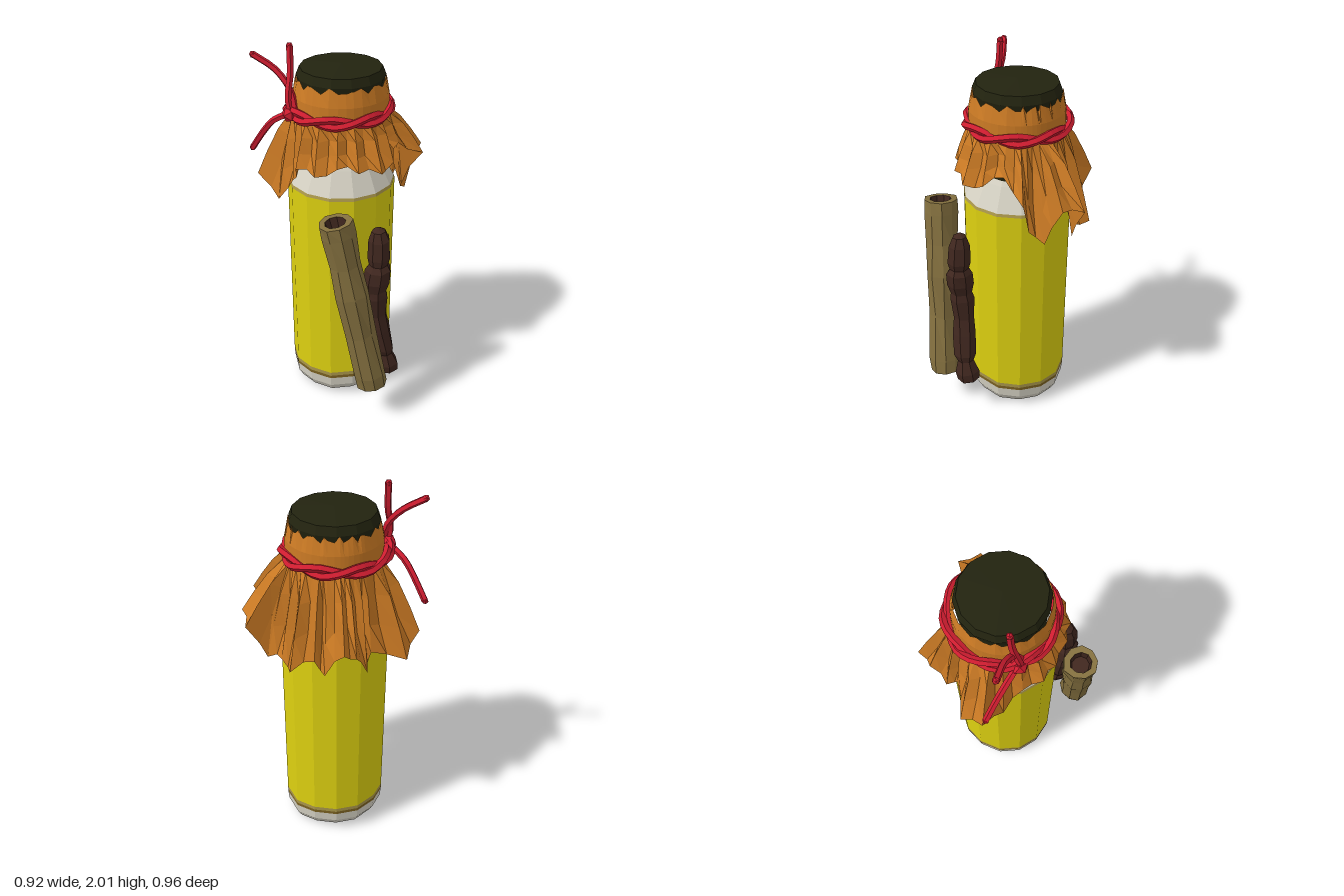
import * as THREE from 'three';

const mat = (name, color, side = THREE.FrontSide) => {
  const m = new THREE.MeshStandardMaterial({ color, side, flatShading: true });
  m.name = name;
  return m;
};

export function createModel() {
  const M = {
    glass: mat('pale glass', 0xd6d2c4),
    yellow: mat('yellow filling', 0xddd010),
    olive: mat('tan sediment', 0xa8954a),
    brown: mat('brown line', 0x7a6020),
    cap: mat('dark cap', 0x22230f),
    cloth: mat('orange cloth', 0xcb7a24, THREE.DoubleSide),
    cord: mat('red cord', 0xcf1d30),
    bark: mat('cinnamon bark', 0x84703f),
    dark: mat('dark pod', 0x40271f),
  };
  const root = new THREE.Group();
  root.name = 'spicedBottle';
  const CX = -0.01, CZ = -0.05;

  const add = (name, geo, material, parent = root) => {
    const g = geo.index ? geo.toNonIndexed() : geo;
    g.computeVertexNormals();
    const mesh = new THREE.Mesh(g, material);
    mesh.name = name;
    parent.add(mesh);
    return mesh;
  };
  const lathe = (pts, sides) =>
    new THREE.LatheGeometry(pts.map(p => new THREE.Vector2(p[0], p[1])), sides);
  // Move every vertex by a rule
  const warp = (geo, rule) => {
    const p = geo.attributes.position, v = new THREE.Vector3();
    for (let i = 0; i < p.count; i++) {
      v.fromBufferAttribute(p, i);
      rule(v);
      p.setXYZ(i, v.x, v.y, v.z);
    }
    return geo;
  };

  // Bottle: stacked colour bands with slightly wavy boundaries
  const wave = v => {
    const a = Math.atan2(v.x, v.z), r = Math.hypot(v.x, v.z);
    if (r > 0.1 && v.y < 0.3) v.y += 0.012 * Math.sin(2 * a + 1) + 0.006 * Math.sin(5 * a);
    if (v.y < 0) v.y = 0;
  };
  const bottle = new THREE.Group();
  bottle.name = 'bottle';
  bottle.position.set(CX, 0, CZ);
  root.add(bottle);
  const bands = [
    ['bottleBase', [[0, 0.02], [0.19, 0.012], [0.25, 0.025], [0.275, 0.07], [0.28, 0.125]], M.glass],
    ['sedimentLine', [[0.28, 0.125], [0.28, 0.143]], M.brown],
    ['sedimentBand', [[0.28, 0.143], [0.28, 0.165]], M.olive],
    ['filling', [[0.28, 0.165], [0.28, 1.265]], M.yellow],
    ['fillingEdge', [[0.28, 1.265], [0.275, 1.28]], M.olive],
    ['shoulder', [[0.275, 1.28], [0.215, 1.4], [0.2, 1.425]], M.glass],
    ['capNeck', [[0.2, 1.42], [0.205, 1.5], [0.21, 1.78]], M.cap],
    ['capTop', [[0.21, 1.78], [0.222, 1.83], [0.205, 1.872], [0, 1.885]], M.cap],
  ];
  for (const [name, pts, m] of bands) add(name, warp(lathe(pts, 14), wave), m, bottle);

  // Cloth hem, going around from the front over the left side
  const hem = [
    [0.0, 1.44, 0.28], [0.12, 1.42, 0.27], [0.2, 1.44, 0.19], [0.25, 1.5, 0.1],
    [0.4, 1.41, 0.05], [0.31, 1.21, -0.01], [0.35, 1.15, -0.08], [0.45, 1.38, -0.13],
    [0.43, 1.35, -0.25], [0.33, 1.16, -0.23], [0.26, 1.18, -0.28], [0.22, 1.16, -0.37],
    [0.1, 1.22, -0.37], [0.05, 1.14, -0.38], [-0.04, 1.32, -0.48], [-0.1, 1.27, -0.43],
    [-0.16, 1.14, -0.36], [-0.18, 1.22, -0.3], [-0.36, 1.17, -0.3], [-0.43, 1.27, -0.19],
    [-0.34, 1.16, -0.08], [-0.28, 1.31, 0.02], [-0.28, 1.42, 0.12], [-0.2, 1.4, 0.19],
    [-0.1, 1.46, 0.25],
  ];
  // Each column runs from the collar out and down to the hem; odd columns are inner folds
  const n = hem.length * 2, rows = [];
  for (let i = 0; i < n; i++) {
    const p = hem[i >> 1], q = hem[((i >> 1) + (i % 2)) % hem.length];
    const x = (p[0] + q[0]) / 2 - CX, y = (p[1] + q[1]) / 2, z = (p[2] + q[2]) / 2 - CZ;
    const a = Math.atan2(x, z), R = Math.hypot(x, z), fold = i % 2;
    const at = (r, h) => [CX + r * Math.sin(a), h, CZ + r * Math.cos(a)];
    const top = 1.815 + 0.018 * Math.sin(i * 2.3);
    const end = Math.max(0.275, R - 0.015 * fold);
    const col = [at(0.223, top), at(0.24, 1.74), at(0.243, 1.64)];
    for (const t of [0.3, 0.65, 1]) {
      const out = Math.pow(t, 0.75);
      const crease = fold * 0.03 * Math.sin(Math.PI * t);
      col.push(at(Math.max(0.235, 0.243 + (end - 0.243) * out - crease),
        1.64 + (y - 1.64) * t + (t === 1 ? fold * 0.02 * Math.sin(i * 1.7) : 0)));
    }
    rows.push(col);
  }
  const surface = (from, to) => {
    const pos = [];
    for (let i = 0; i < n; i++) {
      const A = rows[i], B = rows[(i + 1) % n];
      for (let j = from; j < to; j++) {
        pos.push(...A[j], ...A[j + 1], ...B[j + 1], ...A[j], ...B[j + 1], ...B[j]);
      }
    }
    const g = new THREE.BufferGeometry();
    g.setAttribute('position', new THREE.Float32BufferAttribute(pos, 3));
    return g;
  };
  add('clothCollar', surface(0, 2), M.cloth);
  add('clothSkirt', surface(2, 5), M.cloth);

  // Cord: two twisted strands round the neck, a knot and three loose ends
  const tube = (name, pts, r, closed = false) => add(name, new THREE.TubeGeometry(
    new THREE.CatmullRomCurve3(pts.map(p => new THREE.Vector3(...p)), closed),
    closed ? 40 : 9, r, 5, closed), M.cord);
  for (const s of [0, 1]) {
    const pts = [];
    for (let i = 0; i < 20; i++) {
      const a = i / 20 * Math.PI * 2, w = a * 4 + s * Math.PI, r = 0.255 + 0.012 * Math.cos(w);
      pts.push([CX - 0.008 + r * Math.sin(a), 1.668 + 0.02 * Math.sin(w), CZ - 0.008 + r * Math.cos(a)]);
    }
    tube('cordStrand', pts, 0.02, true);
  }
  const knot = add('cordKnot', new THREE.IcosahedronGeometry(0.045, 0), M.cord);
  knot.position.set(-0.275, 1.665, 0.0);
  tube('cordEndUp', [[-0.27, 1.66, 0.01], [-0.285, 1.74, 0], [-0.265, 1.86, -0.03], [-0.262, 1.99, -0.04]], 0.017);
  tube('cordEndSide', [[-0.25, 1.66, 0.02], [-0.27, 1.78, -0.02], [-0.33, 1.87, -0.07], [-0.43, 1.94, -0.11]], 0.017);
  tube('cordEndDown', [[-0.27, 1.67, 0.0], [-0.35, 1.61, -0.07], [-0.4, 1.53, -0.12], [-0.45, 1.43, -0.17]], 0.017);
  for (const [x, y, z] of [[-0.262, 1.99, -0.04], [-0.43, 1.94, -0.11], [-0.45, 1.43, -0.17]]) {
    add('cordTip', new THREE.IcosahedronGeometry(0.018, 0), M.cord).position.set(x, y, z);
  }

  // Stand a group built along +y between two points
  const between = (name, a, b) => {
    const A = new THREE.Vector3(...a), d = new THREE.Vector3(...b).sub(A);
    const g = new THREE.Group();
    g.name = name;
    g.position.copy(A);
    g.quaternion.setFromUnitVectors(new THREE.Vector3(0, 1, 0), d.clone().normalize());
    root.add(g);
    return [g, d.length()];
  };

  // Rolled cinnamon stick with hollow ends
  const [stick, L] = between('cinnamonStick', [0.055, 0.22, 0.392], [-0.128, 1.22, 0.33]);
  const rough = v => {
    const k = 1 + 0.05 * Math.sin(v.x * 40 + v.y * 9) + 0.04 * Math.sin(v.z * 50 - v.y * 13);
    v.x *= k;
    v.z *= k;
  };
  add('barkShell', warp(lathe([[0.055, 0], [0.082, 0], [0.088, 0.08], [0.082, 0.35], [0.088, 0.6],
    [0.083, 0.78], [0.09, 0.95], [0.088, L], [0.055, L]], 9), rough), M.bark, stick);
  add('hollowTop', warp(lathe([[0.055, L], [0.045, L - 0.08], [0, L - 0.08]], 9), rough), M.dark, stick);
  add('hollowBottom', warp(lathe([[0, 0.08], [0.045, 0.08], [0.055, 0]], 9), rough), M.bark, stick);

  // Lumpy dark pod, slightly bent
  const [pod, P] = between('darkPod', [0.165, 0.21, 0.285], [0.095, 1.14, 0.295]);
  add('podBody', warp(lathe([[0, 0], [0.06, 0.01], [0.064, 0.06], [0.042, 0.13], [0.058, 0.17],
    [0.066, 0.3], [0.06, 0.4], [0.068, 0.52], [0.058, 0.56], [0.07, 0.62], [0.068, 0.69], [0.05, 0.72],
    [0.06, 0.76], [0.056, 0.86], [0.035, 0.91], [0, P]], 7), v => {
    rough(v);
    v.x += 0.022 * Math.cos(v.y * 7) - 0.015;
    v.z += 0.008 * Math.sin(v.y * 11);
  }), M.dark, pod);

  return root;
}
